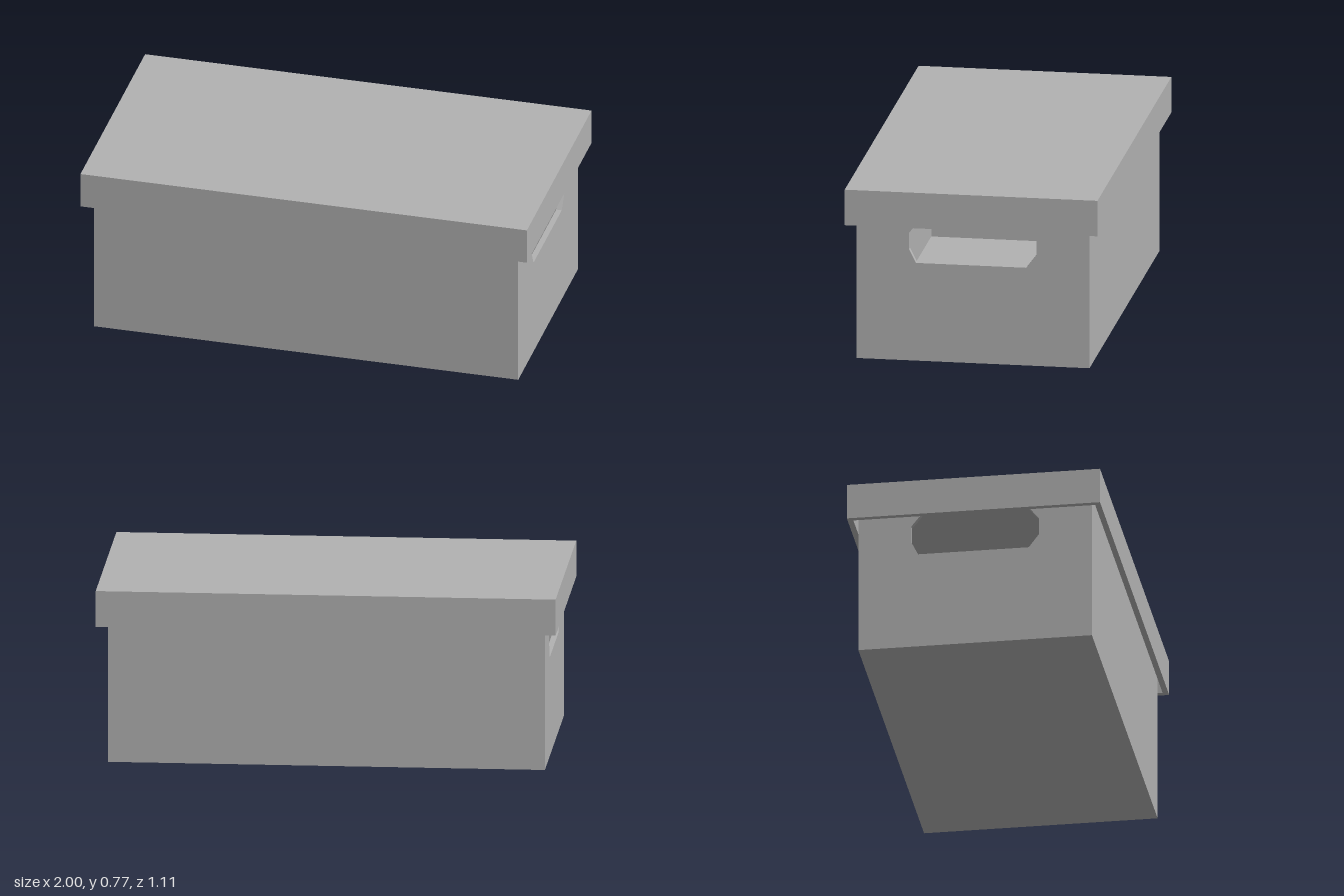
import * as THREE from 'three';

export function createModel() {
  const model = new THREE.Group();
  model.name = 'storageBox';
  const grey = new THREE.MeshStandardMaterial({ color: 0xb2b2b2 });
  grey.name = 'grey';

  const add = (parent, name, geometry, x, y, z) => {
    const mesh = new THREE.Mesh(geometry, grey);
    mesh.name = name;
    mesh.position.set(x, y, z);
    parent.add(mesh);
    return mesh;
  };
  const slab = (parent, name, w, h, d, x, y, z) =>
    add(parent, name, new THREE.BoxGeometry(w, h, d), x, y, z);

  const T = 0.025; // board thickness

  // Open box
  const box = new THREE.Group();
  box.name = 'box';
  model.add(box);
  const bx = 0.95, bz = 0.512, bh = 0.745;
  slab(box, 'floor', 2 * (bx - T), T, 2 * (bz - T), 0, T / 2, 0);

  // End wall outline with an eight-sided handle hole
  const end = new THREE.Shape([
    [-bz, 0], [bz, 0], [bz, bh], [-bz, bh],
  ].map(([x, y]) => new THREE.Vector2(x, y)));
  end.holes.push(new THREE.Path([
    [-0.25, 0.44], [-0.28, 0.5], [-0.28, 0.575], [-0.235, 0.63],
    [0.235, 0.63], [0.28, 0.575], [0.28, 0.5], [0.235, 0.44],
  ].map(([x, y]) => new THREE.Vector2(x, y))));
  const endGeometry = new THREE.ExtrudeGeometry(end, { depth: T, bevelEnabled: false });
  endGeometry.translate(0, 0, -T);
  endGeometry.rotateY(Math.PI / 2);

  for (const s of [1, -1]) {
    const wall = add(box, s > 0 ? 'leftEndWall' : 'rightEndWall', endGeometry, s * bx, 0, 0);
    if (s < 0) wall.rotation.y = Math.PI;
    slab(box, s > 0 ? 'frontWall' : 'backWall', 2 * (bx - T), bh, T, 0, bh / 2, s * (bz - T / 2));
  }

  // Lid with a skirt that hangs clear of the box
  const lid = new THREE.Group();
  lid.name = 'lid';
  model.add(lid);
  const lx = 1, lz = 0.555, y0 = 0.61, y1 = 0.77;
  const skirt = y1 - T - y0;
  slab(lid, 'lidTop', 2 * lx, T, 2 * lz, 0, y1 - T / 2, 0);
  for (const s of [1, -1]) {
    slab(lid, s > 0 ? 'frontSkirt' : 'backSkirt', 2 * lx, skirt, T, 0, y0 + skirt / 2, s * (lz - T / 2));
    slab(lid, s > 0 ? 'leftSkirt' : 'rightSkirt', T, skirt, 2 * (lz - T), s * (lx - T / 2), y0 + skirt / 2, 0);
  }
  return model;
}
